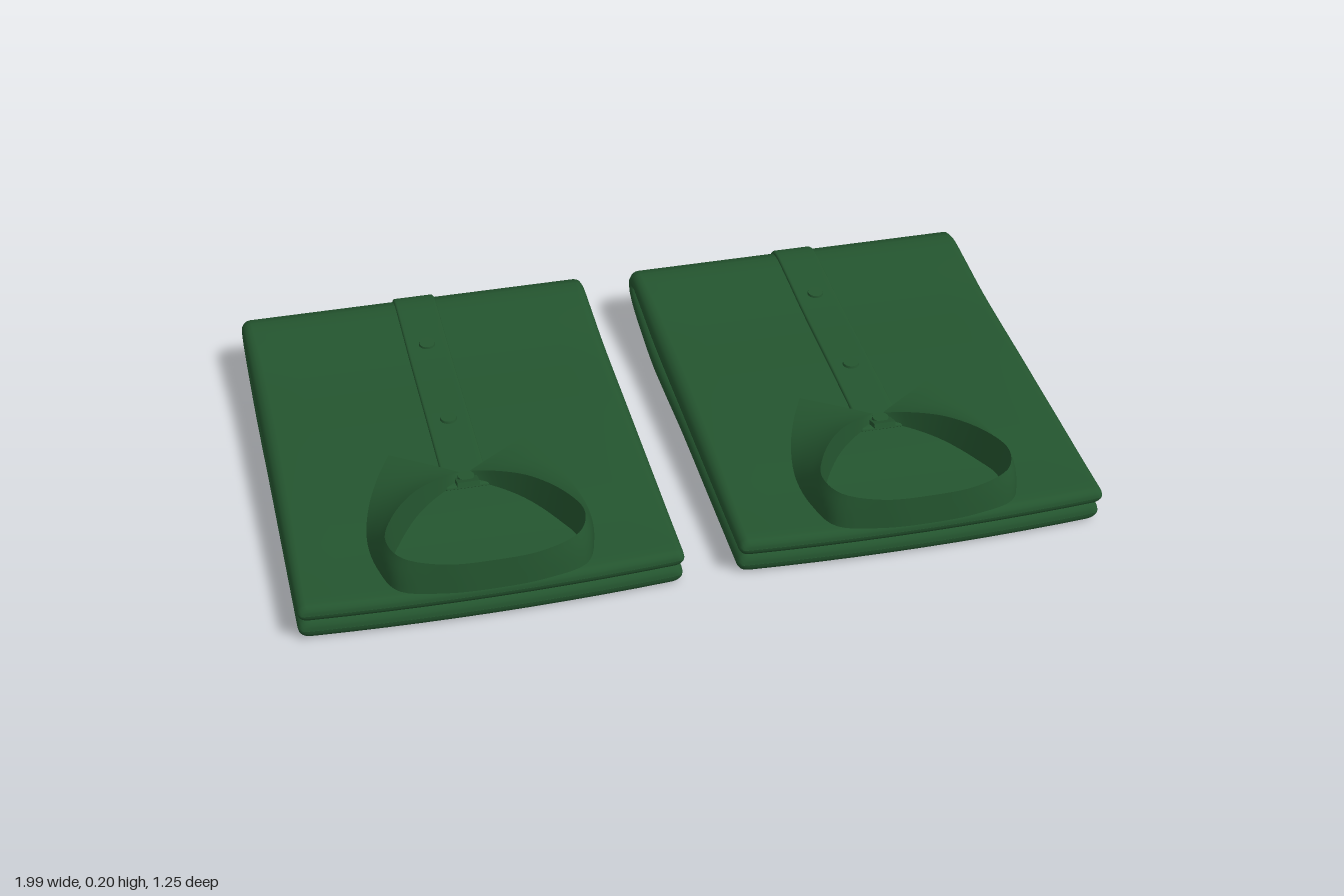
import * as THREE from 'three';

const cloth = new THREE.MeshStandardMaterial({ color: 0x24552f, side: THREE.DoubleSide });
cloth.name = 'green cloth';

// Fold line of the cloth seen from the side: [z, y, half thickness], collar end to hem
const FOLD = new THREE.CatmullRomCurve3([
  [0.59, 0.088, 0.022], [0.45, 0.091, 0.025], [0.3, 0.096, 0.029], [0, 0.106, 0.034],
  [-0.3, 0.117, 0.034], [-0.47, 0.135, 0.029], [-0.55, 0.142, 0.025], [-0.58, 0.135, 0.024],
  [-0.591, 0.118, 0.023], [-0.582, 0.098, 0.023], [-0.55, 0.081, 0.024], [-0.45, 0.057, 0.025],
  [-0.32, 0.038, 0.025], [-0.2, 0.037, 0.023], [0, 0.042, 0.023], [0.3, 0.036, 0.024], [0.575, 0.031, 0.026],
].map(([z, y, h]) => new THREE.Vector3(h, y, z)));
FOLD.arcLengthDivisions = 1000;
const LENGTH = FOLD.getLength();

// Point, outward normal and half thickness of the folded cloth at u
function station(u) {
  const p = FOLD.getPointAt(u), t = FOLD.getTangentAt(u);
  return { y: p.y, z: p.z, h: p.x, n: new THREE.Vector3(0, -t.z, t.y).normalize() };
}

// u of the point on the upper layer at a given z
function upperU(z) {
  let u = 0;
  while (u < 0.5 && station(u).z > z) u += 0.001;
  return u;
}

// Closed grid of rings, or open grid of rows, as smooth geometry
function grid(rows, closed) {
  const n = rows[0].length, index = [];
  for (let i = 0; i < rows.length - 1; i++) {
    for (let j = 0; j < (closed ? n : n - 1); j++) {
      const k = (j + 1) % n, a = i * n + j, b = i * n + k, c = a + n, d = b + n;
      index.push(a, c, d, a, d, b);
    }
  }
  const g = new THREE.BufferGeometry();
  g.setAttribute('position', new THREE.Float32BufferAttribute(rows.flat(2), 3));
  g.setIndex(index);
  g.computeVertexNormals();
  return g;
}

// Padded strip following the fold; thin strips lie on the outer surface
function strip(u0, u1, halfWidth, thin) {
  const len = (u1 - u0) * LENGTH, ends = [0, 0.001, 0.003, 0.007, 0.012, 0.02];
  const dist = [...ends];
  for (let i = 1; i < 100; i++) dist.push(0.02 + (len - 0.04) * i / 100);
  dist.push(...ends.map((d) => len - d).reverse());
  const rows = dist.map((d) => {
    const s = station(Math.min(1, u0 + d / LENGTH));
    const h0 = thin || s.h, off = thin ? s.h + 0.001 : 0;
    const k = Math.min(1, Math.min(d, len - d) / Math.min(0.02, h0));
    const h = Math.max(0.0003, h0 * Math.sqrt(1 - (1 - k) ** 2));
    const w = halfWidth - (h0 - h) * 0.5, ring = [];
    const add = (x, n) => {
      const bulge = 0.018 * (1 - (x / 0.463) ** 2) * THREE.MathUtils.smoothstep(s.z, 0.2, 0.59);
      ring.push([x, s.y + s.n.y * (n + off), s.z + s.n.z * (n + off) + bulge]);
    };
    for (const side of [1, -1]) {
      for (let i = 0; i <= 8; i++) {
        const a = -Math.PI / 2 + Math.PI * i / 8;
        add(side * (w - h0 + h0 * Math.cos(a)), side * h * Math.sin(a));
      }
      for (let i = 1; i < 10; i++) add(side * (w - h0) * (1 - i / 5), side * h);
    }
    return ring;
  });
  return grid(rows, true);
}

// Mirrored collar curve from half its points, centre back first
function collarCurve(half) {
  const pts = half.map((p) => new THREE.Vector3(...p));
  const other = pts.slice(1).reverse().map((p) => new THREE.Vector3(-p.x, p.y, p.z));
  return new THREE.CatmullRomCurve3([...other, ...pts]);
}

// Cloth between two curves, bulging outward by a small amount
function loft(a, b, bulge) {
  const rows = [];
  for (let i = 0; i <= 72; i++) {
    const p = a.getPoint(i / 72), q = b.getPoint(i / 72), row = [];
    for (let j = 0; j <= 6; j++) {
      const v = p.clone().lerp(q, j / 6), k = bulge * Math.sin(Math.PI * j / 6);
      row.push([v.x * (1 + k), v.y + k * 0.1, v.z]);
    }
    rows.push(row);
  }
  return grid(rows, false);
}

function mesh(name, geometry) {
  const m = new THREE.Mesh(geometry, cloth);
  m.name = name;
  return m;
}

function makeShirt() {
  const shirt = new THREE.Group();
  shirt.add(mesh('foldedBody', strip(0, 1, 0.463)));
  shirt.add(mesh('placket', strip(upperU(0.24), 0.625, 0.055, 0.006)));

  // Collar: turned-down leaf outside, standing band inside
  const edge = collarCurve([[0, 0.116, 0.624], [0.12, 0.117, 0.617], [0.225, 0.119, 0.585], [0.26, 0.123, 0.5],
    [0.27, 0.128, 0.4], [0.25, 0.134, 0.28], [0.212, 0.14, 0.17], [0.17, 0.142, 0.08]]);
  const top = collarCurve([[0, 0.195, 0.618], [0.12, 0.197, 0.61], [0.212, 0.204, 0.57], [0.238, 0.208, 0.5],
    [0.21, 0.209, 0.42], [0.14, 0.195, 0.315], [0.06, 0.17, 0.24], [0.012, 0.152, 0.205]]);
  const base = collarCurve([[0, 0.112, 0.572], [0.12, 0.112, 0.565], [0.205, 0.113, 0.535], [0.225, 0.115, 0.48],
    [0.195, 0.118, 0.41], [0.13, 0.12, 0.31], [0.06, 0.124, 0.245], [0.005, 0.128, 0.215]]);
  shirt.add(mesh('collarLeaf', loft(edge, top, 0.02)));
  shirt.add(mesh('collarStand', loft(top, base, 0)));

  // Overlapping end of the collar band at the throat
  const tab = mesh('collarTab', new THREE.BoxGeometry(0.055, 0.012, 0.06));
  tab.position.set(0, 0.146, 0.235);
  tab.rotation.x = -0.35;
  shirt.add(tab);

  // Buttons down the placket, the last on the fold
  const spots = [0.225, -0.03, -0.36].map(upperU);
  let foldU = 0.4;
  while (station(foldU + 0.001).z < station(foldU).z) foldU += 0.001;
  for (const u of [...spots, foldU]) {
    const s = station(u), button = mesh('button', new THREE.CylinderGeometry(0.02, 0.022, 0.008, 20));
    button.position.set(0, s.y, s.z).addScaledVector(s.n, s.h + (u === spots[0] ? 0.022 : 0.009));
    button.quaternion.setFromUnitVectors(new THREE.Vector3(0, 1, 0), s.n);
    shirt.add(button);
  }
  return shirt;
}

export function createModel() {
  const model = new THREE.Group();
  model.name = 'foldedShirts';
  for (const side of [1, -1]) {
    const shirt = makeShirt();
    shirt.name = side > 0 ? 'leftShirt' : 'rightShirt';
    shirt.position.x = side * 0.53;
    model.add(shirt);
  }
  return model;
}
